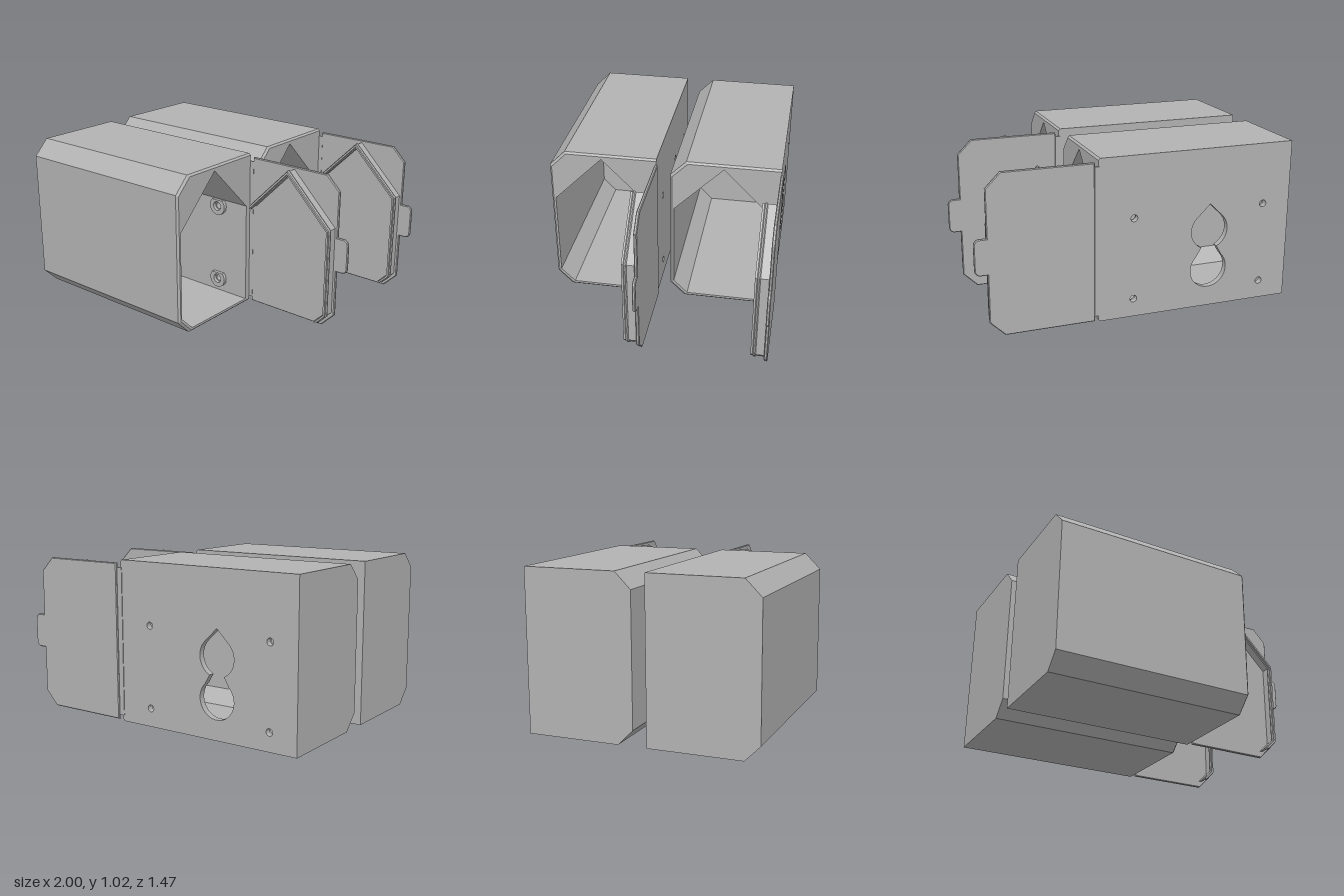
import * as THREE from 'three';
import { toCreasedNormals } from 'three/addons/utils/BufferGeometryUtils.js';

const plastic = new THREE.MeshStandardMaterial({ color: 0xb2b2b2 });
plastic.name = 'grey plastic';

const toShape = (pts) => new THREE.Shape(pts.map(([a, b]) => new THREE.Vector2(a, b)));

// Extrude an (x, y) shape from z0 to z1
function slab(shape, z0, z1, bevel = 0) {
  const geo = new THREE.ExtrudeGeometry(shape, {
    depth: z1 - z0 - 2 * bevel, curveSegments: 16,
    bevelEnabled: bevel > 0, bevelSize: bevel, bevelThickness: bevel,
    bevelOffset: -bevel, bevelSegments: 1,
  });
  return toCreasedNormals(geo.translate(0, 0, z0 + bevel), 0.5);
}

// Extrude a (z, y) profile from x0 to x1
function prism(profile, x0, x1) {
  const geo = new THREE.ExtrudeGeometry(toShape(profile.map(([z, y]) => [-z, y])),
    { depth: x1 - x0, bevelEnabled: false });
  return geo.rotateY(Math.PI / 2).translate(x0, 0, 0);
}

function add(group, name, geo) {
  const mesh = new THREE.Mesh(geo, plastic);
  mesh.name = name;
  group.add(mesh);
}

// Circle with a 45 degree point on top
function teardrop(x, y, r) {
  const s = new THREE.Shape();
  s.moveTo(x, y + r * Math.SQRT2);
  s.absarc(x, y, r, Math.PI * 0.75, Math.PI * 2.25, false);
  s.closePath();
  return s;
}

function circle(x, y, r) {
  return new THREE.Path().absarc(x, y, r, 0, Math.PI * 2, false);
}

// Two stacked teardrops joined by a neck
function hangerHole(x) {
  const p = new THREE.Path();
  p.moveTo(x, 0.67);
  p.lineTo(x - 0.085, 0.587);
  p.absarc(x, 0.502, 0.12, Math.PI * 0.75, Math.PI * 1.36, false);
  p.lineTo(x - 0.085, 0.335);
  p.absarc(x, 0.25, 0.12, Math.PI * 0.75, Math.PI * 2.25, false);
  p.lineTo(x + 0.05, 0.393);
  p.absarc(x, 0.502, 0.12, Math.PI * 1.64, Math.PI * 2.25, false);
  p.closePath();
  return p;
}

const OUTER = [[0.05, 0.004], [0.64, 0.004], [0.735, 0.1], [0.735, 0.92], [0.635, 1.02], [0.05, 1.02]];
const INNER = [[0.05, 0.68], [0.09, 0.68], [0.4, 0.99], [0.71, 0.68], [0.71, 0.12], [0.62, 0.03], [0.05, 0.03]];

// Lip of the door: a narrow strip following the opening, grown by o on both sides
function lipStrip(o) {
  const k = o * Math.SQRT2, c = o * 0.41;
  return toShape([
    [0.32, 0.71 + k], [0.6, 0.99 + k], [0.91 + o, 0.68 + c], [0.91 + o, 0.12 - c], [0.85 + k, 0.06],
    [0.825 - k, 0.06], [0.892 - o, 0.127 + c], [0.892 - o, 0.673 - c], [0.6, 0.965 - k], [0.32, 0.685 - k],
  ]);
}

function makeBox() {
  const box = new THREE.Group();

  // Housing with a peaked cavity
  const section = [...OUTER, ...INNER];
  add(box, 'housingShell', prism(section, -0.97, 0.248));
  add(box, 'endWall', prism(OUTER, -1, -0.97));

  // Mouth rim: outer edge drawn in at the open end
  const rim = prism(section, 0.248, 0.26);
  const p = rim.attributes.position;
  for (let i = 0; i < p.count; i++) {
    const y = p.getY(i), z = p.getZ(i);
    if (p.getX(i) > 0.255 && (y < 0.02 || y > 1 || z > 0.72)) {
      p.setY(i, 0.512 + (y - 0.512) * 0.977);
      p.setZ(i, 0.05 + (z - 0.05) * 0.982);
    }
  }
  rim.computeVertexNormals();
  add(box, 'mouthRim', rim);

  // Back wall with hanger hole and screw holes, and a boss around each screw
  const wall = toShape([[-0.97, 0.03], [0.26, 0.03], [0.26, 0.68], [-0.97, 0.68]]);
  wall.holes.push(hangerHole(-0.46));
  for (const x of [-0.82, 0.035]) {
    for (const y of [0.12, 0.635]) {
      wall.holes.push(circle(x, y, 0.022));
      const boss = teardrop(x, y, 0.06);
      boss.holes.push(circle(x, y, 0.03));
      add(box, 'screwBoss', slab(boss, 0.09, 0.112));
    }
  }
  add(box, 'backWall', slab(wall, 0.05, 0.09));

  // Thin hinge strip
  const hinge = new THREE.BoxGeometry(0.045, 0.93, 0.008);
  add(box, 'hinge', hinge.translate(0.2725, 0.507, 0.05));

  // Door plate with clipped corners and a rounded pull tab
  const door = new THREE.Shape();
  door.moveTo(0.285, 0.015);
  door.lineTo(0.835, 0.015);
  door.lineTo(0.925, 0.105);
  door.lineTo(0.925, 0.4);
  door.lineTo(0.965, 0.4);
  door.absarc(0.965, 0.435, 0.035, -Math.PI / 2, 0, false);
  door.absarc(0.965, 0.585, 0.035, 0, Math.PI / 2, false);
  door.lineTo(0.925, 0.62);
  door.lineTo(0.925, 0.91);
  door.lineTo(0.835, 1.0);
  door.lineTo(0.285, 1.0);
  door.closePath();
  add(box, 'door', slab(door, 0.036, 0.056, 0.005));

  // Door lip with snap bead
  add(box, 'doorLip', slab(lipStrip(-0.003), 0.05, 0.137));
  add(box, 'snapBead', slab(lipStrip(0.004), 0.105, 0.125, 0.006));
  return box;
}

export function createModel() {
  const model = new THREE.Group();
  ['frontBox', 'rearBox'].forEach((name, i) => {
    const box = makeBox();
    box.name = name;
    box.position.z = -0.771 * i;
    model.add(box);
  });
  return model;
}
